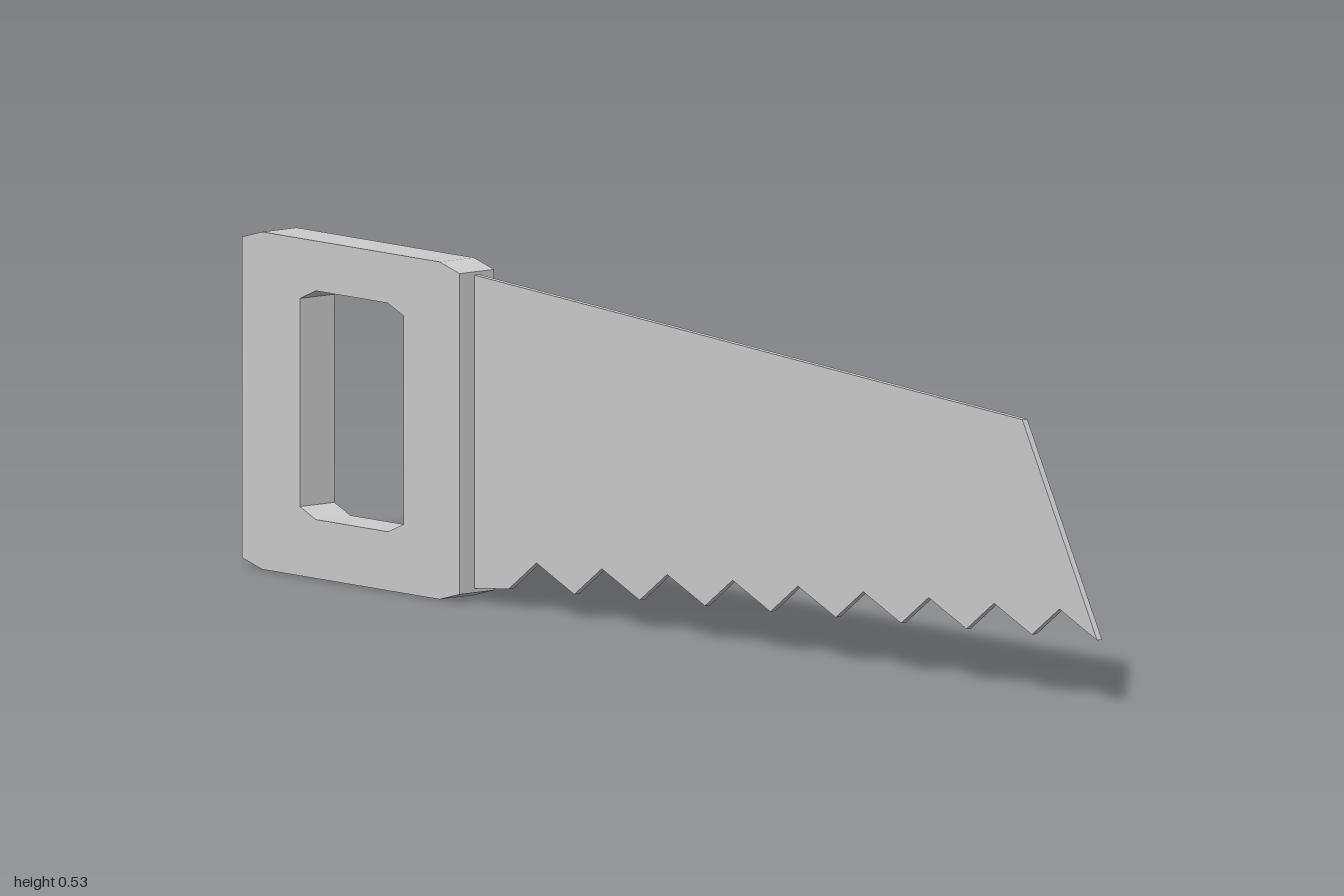
import * as THREE from 'three';

// Extrude a side profile of [z, y] points to a given width, centred on x = 0
function sidePlate(name, points, width, hole) {
  const toVectors = (list) => list.map(([z, y]) => new THREE.Vector2(z, y));
  const shape = new THREE.Shape(toVectors(points));
  if (hole) shape.holes.push(new THREE.Path(toVectors(hole)));
  const geometry = new THREE.ExtrudeGeometry(shape, { depth: width, bevelEnabled: false });
  geometry.translate(0, 0, -width / 2);
  geometry.rotateY(-Math.PI / 2);
  const material = new THREE.MeshStandardMaterial({ color: 0xcccccc, flatShading: true });
  const mesh = new THREE.Mesh(geometry, material);
  mesh.name = name;
  return mesh;
}

// Rectangle with cut corners, as [z, y] points
function cutRectangle(z0, z1, y0, y1, cutZ, cutY) {
  return [
    [z0 + cutZ, y0], [z1 - cutZ, y0], [z1, y0 + cutY], [z1, y1 - cutY],
    [z1 - cutZ, y1], [z0 + cutZ, y1], [z0, y1 - cutY], [z0, y0 + cutY],
  ];
}

export function createModel() {
  const saw = new THREE.Group();
  saw.name = 'handSaw';

  // Blade: sloping back edge, slanted nose and a row of teeth
  const outline = [[-0.485, 0.509], [0.822, 0.428]];
  const teeth = 9;
  const pitch = 1.4 / teeth;
  const drop = 0.0083;
  for (let i = 0; i < teeth; i++) {
    const tip = 1 - i * pitch;
    outline.push([tip, 0.103 - i * drop], [tip - 0.09, 0.142 - i * drop]);
  }
  outline.push([-0.4, 0.028], [-0.485, 0.019]);
  saw.add(sidePlate('blade', outline, 0.01));

  // Handle: thick block with cut corners and a grip opening
  const handle = cutRectangle(-1, -0.482, 0, 0.527, 0.048, 0.013);
  const grip = cutRectangle(-0.862, -0.615, 0.092, 0.449, 0.038, 0.016);
  saw.add(sidePlate('handle', handle, 0.07, grip));

  return saw;
}
